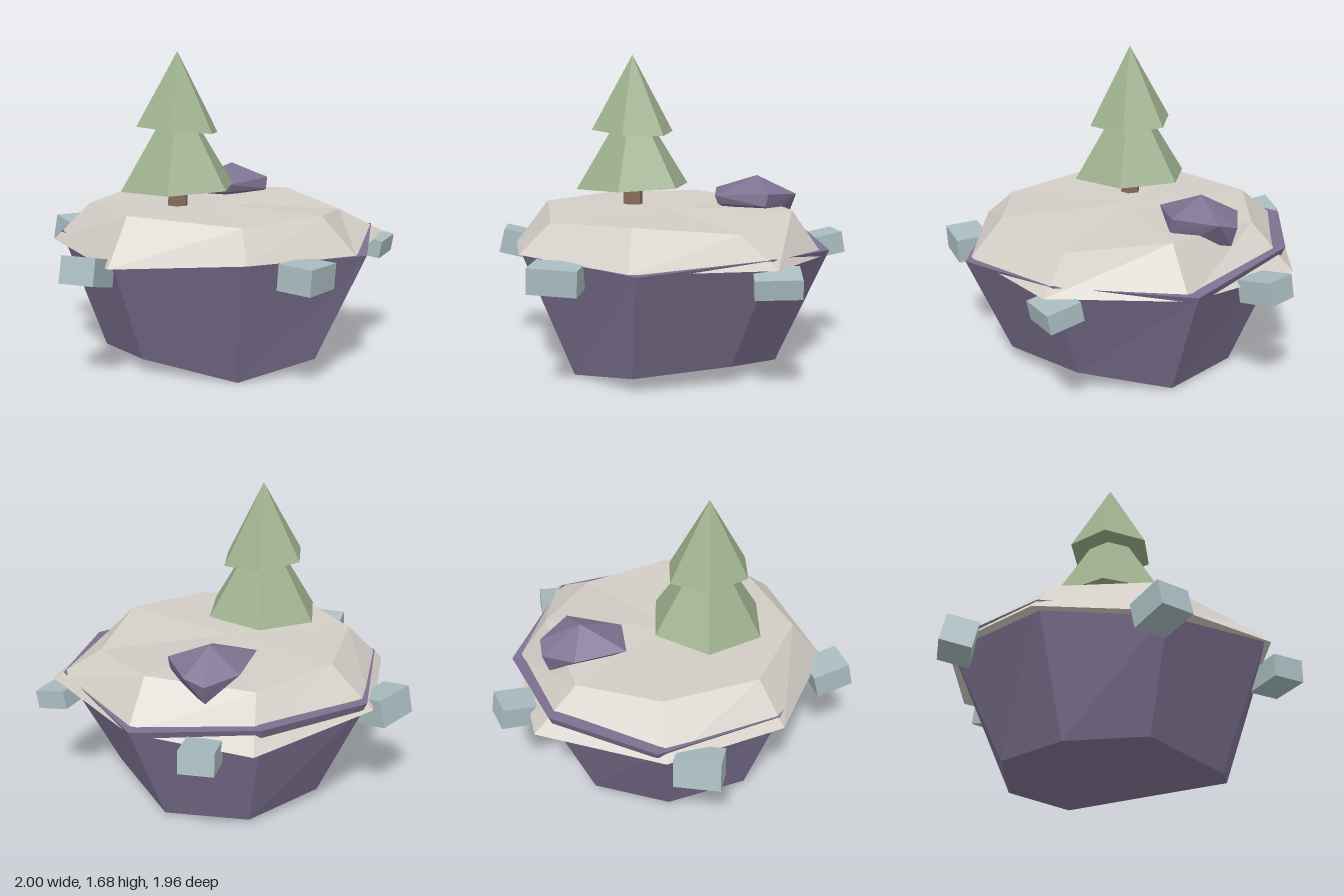
import * as THREE from 'three';
import { ConvexGeometry } from 'three/addons/geometries/ConvexGeometry.js';

function material(name, color) {
  const m = new THREE.MeshStandardMaterial({ color });
  m.name = name;
  return m;
}

function flat(geometry) {
  const g = geometry.index ? geometry.toNonIndexed() : geometry;
  g.computeVertexNormals();
  return g;
}

// Closed faceted solid between two uneven rings, capped by fans
function loft(lower, upper, lowCenter, topCenter) {
  const p = [];
  const n = lower.length;
  for (let i = 0; i < n; i++) {
    const j = (i + 1) % n;
    const faces = [
      lower[i], lower[j], upper[j],
      lower[i], upper[j], upper[i],
      topCenter, upper[i], upper[j],
      lowCenter, lower[j], lower[i],
    ];
    faces.forEach((v) => p.push(...v));
  }
  const g = new THREE.BufferGeometry();
  g.setAttribute('position', new THREE.Float32BufferAttribute(p, 3));
  return flat(g);
}

export function createModel() {
  const group = new THREE.Group();
  const stone = material('purple stone', 0x7d7291);
  const ground = material('pale ground', 0xd2cdc5);
  const ice = material('pale blue rock', 0xa9bcc0);
  const leaf = material('sage green', 0x9caf8c);
  const bark = material('brown bark', 0x8b6b5c);

  const add = (name, geometry, mat, parent = group) => {
    const mesh = new THREE.Mesh(geometry, mat);
    mesh.name = name;
    parent.add(mesh);
    return mesh;
  };

  // Tapered island base; rings run left, front, right, back
  add('islandBase', loft(
    [[-0.55, 0.077, 0.0], [-0.37, 0.0, 0.485], [0.005, 0.077, 0.715], [0.465, 0.1, 0.48],
      [0.64, 0.01, 0.02], [0.45, 0.02, -0.4], [0.03, 0.057, -0.57], [-0.4, 0.05, -0.4]],
    [[-0.78, 0.64, 0.0], [-0.59, 0.675, 0.65], [0.085, 0.65, 0.963], [0.69, 0.7, 0.665],
      [0.92, 0.635, 0.005], [0.65, 0.72, -0.61], [0.085, 0.705, -0.877], [-0.55, 0.7, -0.59]],
    [0, 0.04, 0], [0.03, 0.67, 0.02]), stone);

  // Bevelled ground slab
  add('groundTop', loft(
    [[-0.85, 0.618, 0.04], [-0.59, 0.676, 0.69], [0.04, 0.65, 0.925], [0.72, 0.66, 0.72],
      [0.89, 0.61, 0.04], [0.73, 0.61, -0.615], [0.04, 0.65, -0.89], [-0.57, 0.65, -0.625]],
    [[-0.67, 0.857, 0.01], [-0.46, 0.826, 0.57], [0.01, 0.843, 0.74], [0.515, 0.797, 0.55],
      [0.72, 0.855, 0.06], [0.51, 0.83, -0.48], [0.06, 0.856, -0.65], [-0.445, 0.85, -0.47]],
    [0.03, 0.64, 0.02], [0.02, 0.842, 0.02]), ground);

  // Tree: trunk and two tilted tiers
  const tree = new THREE.Group();
  tree.name = 'tree';
  tree.position.set(-0.185, 0, -0.055);
  group.add(tree);
  const trunk = add('trunk', flat(new THREE.CylinderGeometry(0.05, 0.058, 0.3, 6)), bark, tree);
  trunk.position.y = 0.95;

  const tier = (name, radius, baseY, height, tiltX, tiltZ) => {
    const g = new THREE.ConeGeometry(radius, height, 6);
    const pos = g.attributes.position;
    // Slope the base while keeping the tip in place
    for (let i = 0; i < pos.count; i++) {
      if (pos.getY(i) < 0) {
        pos.setY(i, pos.getY(i) + pos.getX(i) * tiltX + pos.getZ(i) * tiltZ);
      }
    }
    g.translate(0, baseY + height / 2, 0);
    return add(name, flat(g), leaf, tree);
  };
  tier('lowerFoliage', 0.325, 0.947, 0.52, 0.03, 0.01);
  tier('upperFoliage', 0.235, 1.26, 0.418, -0.07, -0.055);

  // Faceted boulder hanging over the right edge of the slab
  const boulder = [
    [0.5, 1.01, -0.19], [0.25, 0.92, -0.31], [0.52, 0.905, -0.39], [0.7, 0.88, -0.3],
    [0.72, 0.91, -0.19], [0.59, 0.928, 0.01], [0.285, 0.905, -0.05], [0.57, 0.86, 0.015],
    [0.67, 0.775, -0.285], [0.6, 0.8, -0.065], [0.35, 0.8, -0.2], [0.3, 0.86, -0.06],
  ].map((v) => new THREE.Vector3(...v));
  add('boulder', flat(new ConvexGeometry(boulder)), stone);

  // Small blocks set round the rim: centre, size, rotation
  const blocks = [
    [[-0.335, 0.605, 0.865], [0.25, 0.13, 0.18], [0.05, 0.06, -0.04]],
    [[0.71, 0.587, 0.66], [0.23, 0.1, 0.18], [0.18, 0.18, 0]],
    [[0.855, 0.602, -0.39], [0.2, 0.12, 0.18], [0, 0.43, 0.18]],
    [[-0.125, 0.61, -0.87], [0.24, 0.15, 0.17], [0.22, -0.2, 0]],
    [[-0.87, 0.595, -0.08], [0.21, 0.14, 0.19], [0, 0.27, -0.24]],
  ];
  blocks.forEach(([position, size, rotation], i) => {
    const block = add(`rimBlock${i + 1}`, new THREE.BoxGeometry(...size), ice);
    block.position.set(...position);
    block.rotation.set(...rotation);
  });

  return group;
}
